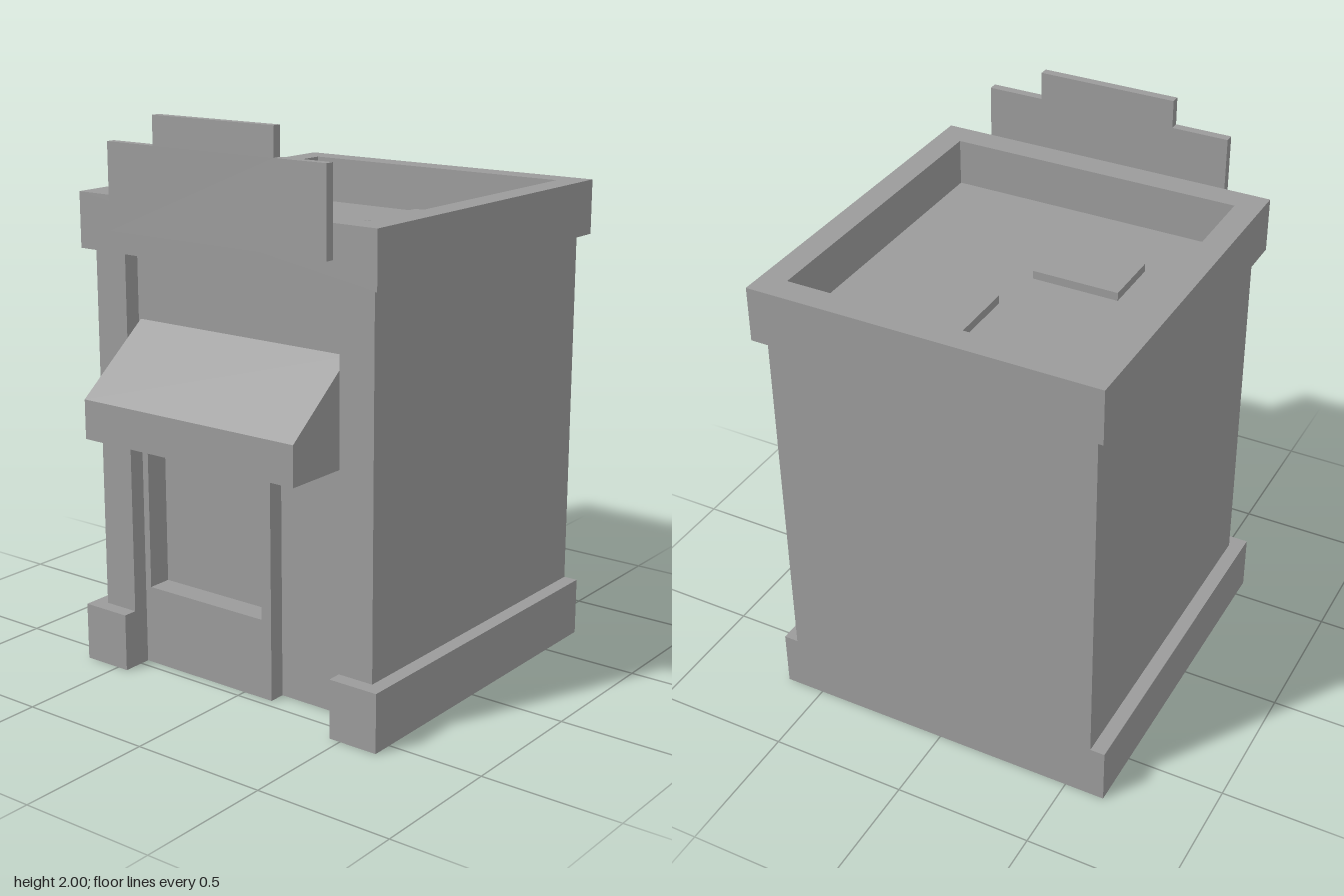
import * as THREE from 'three';

const material = new THREE.MeshStandardMaterial({ color: 0x9b9b9b, flatShading: true });

export function createModel() {
  const model = new THREE.Group();
  model.name = 'shop';

  const add = (name, geometry) => {
    const mesh = new THREE.Mesh(geometry, material);
    mesh.name = name;
    model.add(mesh);
    return mesh;
  };
  // Box given by its limits on each axis
  const box = (name, [x0, x1], [y0, y1], [z0, z1]) => {
    const g = new THREE.BoxGeometry(x1 - x0, y1 - y0, z1 - z0);
    g.translate((x0 + x1) / 2, (y0 + y1) / 2, (z0 + z1) / 2);
    return add(name, g);
  };
  const outline = (points) => new THREE.Shape(points.map(([x, y]) => new THREE.Vector2(x, y)));
  const rect = (x0, x1, y0, y1) => [[x0, y0], [x1, y0], [x1, y1], [x0, y1]];
  const extrude = (shape, depth) =>
    new THREE.ExtrudeGeometry(shape, { depth, bevelEnabled: false });
  // Plan outlines are drawn as (x, -z) and raised along y
  const extrudeUp = (shape, y0, y1) =>
    extrude(shape, y1 - y0).rotateX(-Math.PI / 2).translate(0, y0, 0);

  // Main block; its front face is the window pane
  box('body', [-0.592, 0.592], [0, 1.53], [-0.712, 0.375]);

  // Recessed shop front with window opening and doorway
  const front = outline([
    [-0.457, 0], [0.122, 0], [0.122, 0.883], [0.43, 0.883],
    [0.43, 0], [0.457, 0], [0.457, 1.53], [-0.457, 1.53],
  ]);
  front.holes.push(outline(rect(-0.432, 0.08, 0.29, 0.883)));
  add('shopFront', extrude(front, 0.09).translate(0, 0, 0.375));
  box('door', [0.122, 0.43], [0, 0.883], [0.375, 0.405]);

  // Corner pilasters and L-shaped plinths, mirrored
  for (const s of [-1, 1]) {
    const side = s > 0 ? 'left' : 'right';
    const span = (a, b) => (s > 0 ? [a, b] : [-b, -a]);
    box(side + 'Pilaster', span(0.457, 0.592), [0, 1.53], [0.375, 0.525]);
    const plinth = outline([
      [0.645, 0.712], [0.592, 0.712], [0.592, -0.525],
      [0.457, -0.525], [0.457, -0.577], [0.645, -0.577],
    ].map(([x, y]) => [s * x, y]));
    add(side + 'Plinth', extrudeUp(plinth, 0, 0.21));
  }

  // Cornice ring around the sunken flat roof
  const cornice = outline(rect(-0.627, 0.627, -0.562, 0.75));
  cornice.holes.push(outline(rect(-0.535, 0.535, -0.465, 0.655)));
  add('cornice', extrudeUp(cornice, 1.518, 1.714));
  box('roof', [-0.54, 0.54], [1.525, 1.545], [-0.66, 0.47]);
  box('largeRoofHatch', [0.007, 0.415], [1.54, 1.575], [-0.54, -0.222]);
  box('smallRoofHatch', [-0.333, -0.018], [1.54, 1.575], [-0.028, 0.188]);

  // Stepped sign board on the cornice front
  const sign = outline([
    [-0.458, 1.598], [0.458, 1.598], [0.458, 1.9], [0.253, 1.9],
    [0.253, 2], [-0.253, 2], [-0.253, 1.9], [-0.458, 1.9],
  ]);
  add('signBoard', extrude(sign, 0.032).translate(0, 0, 0.562));

  // Sloped awning, profile drawn as (-z, y) and extruded across x
  const awning = outline([[-0.465, 0.908], [-0.465, 1.275], [-0.75, 1.047], [-0.75, 0.908]]);
  add('awning', extrude(awning, 0.895).rotateY(Math.PI / 2).translate(-0.4475, 0, 0));

  return model;
}
